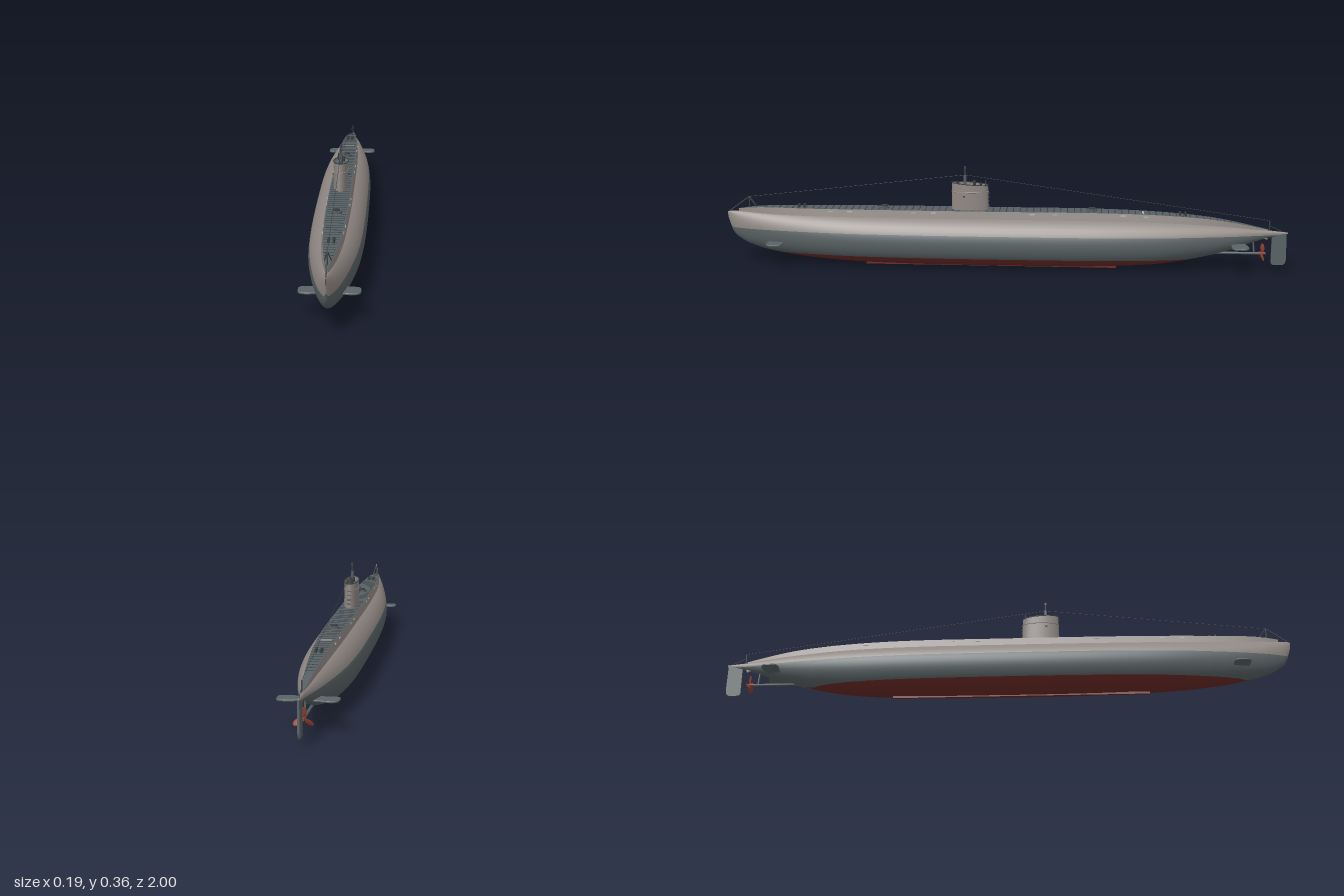
import * as THREE from 'three';

const mat = (name, color, side = THREE.FrontSide) => {
  const m = new THREE.MeshStandardMaterial({ color, side });
  m.name = name;
  return m;
};

export function createModel() {
  const root = new THREE.Group();
  const upper = mat('upperGrey', 0x8f8783, THREE.DoubleSide);
  const lower = mat('lowerGrey', 0x596365);
  const red = mat('antifoulingRed', 0x6b2a26);
  const deckMat = mat('deckGrey', 0x566064);
  const dark = mat('darkMetal', 0x3a3f41);
  const propMat = mat('propellerRed', 0x93402f, THREE.DoubleSide);
  const pale = mat('paleSlot', 0xb8b4ae);
  const V = (x, y, z) => new THREE.Vector3(x, y, z);

  const add = (name, geo, material, x = 0, y = 0, z = 0, parent = root) => {
    const m = new THREE.Mesh(geo, material);
    m.name = name;
    m.position.set(x, y, z);
    parent.add(m);
    return m;
  };
  const box = (name, w, h, d, material, x, y, z, parent) =>
    add(name, new THREE.BoxGeometry(w, h, d), material, x, y, z, parent);
  const disc = (name, r, h, material, x, y, z, parent) =>
    add(name, new THREE.CylinderGeometry(r, r, h, 16), material, x, y, z, parent);
  const rod = (name, a, b, r, material = dark, parent = root) => {
    const m = add(name, new THREE.CylinderGeometry(r, r, a.distanceTo(b), 8), material, 0, 0, 0, parent);
    m.position.copy(a).lerp(b, 0.5);
    m.quaternion.setFromUnitVectors(V(0, 1, 0), b.clone().sub(a).normalize());
    return m;
  };
  // Smooth lookup in a table of [z, ...values]
  const table = (rows) => {
    const f = new THREE.CubicInterpolant(rows.map((r) => r[0]), rows.flatMap((r) => r.slice(1)), rows[0].length - 1);
    return (z) => Array.from(f.evaluate(z));
  };
  // Skin over rows of points; bands are [first column, last column, material index]
  const loft = (rows, bands) => {
    const n = rows[0].length, index = [], g = new THREE.BufferGeometry();
    for (const [j0, j1, material] of bands) {
      const start = index.length;
      for (let i = 0; i < rows.length - 1; i++) {
        for (let j = j0; j < j1; j++) {
          const a = i * n + j, d = a + n;
          index.push(a, a + 1, d + 1, a, d + 1, d);
        }
      }
      g.addGroup(start, index.length - start, material);
    }
    g.setFromPoints(rows.flat());
    g.setIndex(index);
    g.computeVertexNormals();
    return g;
  };
  const steps = (a, b, n) => Array.from({ length: n + 1 }, (_, i) => a + (b - a) * i / n);

  // Hull: z, keel height, crown height, half width
  const hullAt = table([
    [-1, 0.135, 0.141, 0.002], [-0.93, 0.12, 0.148, 0.009], [-0.9, 0.111, 0.152, 0.015],
    [-0.8, 0.075, 0.166, 0.037], [-0.6, 0.028, 0.183, 0.07], [-0.4, 0.011, 0.19, 0.087],
    [0, 0.005, 0.192, 0.094], [0.4, 0.008, 0.192, 0.09], [0.6, 0.016, 0.192, 0.079],
    [0.8, 0.038, 0.192, 0.053], [0.9, 0.062, 0.192, 0.034], [0.95, 0.085, 0.191, 0.021],
    [0.985, 0.12, 0.19, 0.009], [1, 0.168, 0.188, 0.001],
  ]);
  const stations = [...steps(-1, 0.9, 60), ...steps(0.91, 1, 12)];
  const hullRows = stations.map((z) => {
    const [yb, yt, w] = hullAt(z), c = (yb + yt) / 2, r = (yt - yb) / 2;
    const angle = (y) => Math.acos(THREE.MathUtils.clamp((c - y) / r, -1, 1));
    const t1 = angle(0.045), t2 = angle(0.131);
    const half = [...steps(0, t1, 5), ...steps(t1, t2, 7).slice(1), ...steps(t2, Math.PI, 8).slice(1)];
    const full = [...half.slice(1).reverse().map((t) => -t), ...half];
    return full.map((t) => V(w * Math.sin(t), c - r * Math.cos(t), z));
  });
  add('hull', loft(hullRows, [[0, 8, 0], [8, 15, 1], [15, 25, 2], [25, 32, 1], [32, 40, 0]]), [upper, lower, red]);
  box('keel', 0.008, 0.008, 0.9, red, 0, 0.005, 0.05);

  // Deck casing: z, top half width, foot half width, top height
  const casingAt = table([
    [-0.93, 0.003, 0.005, 0.151], [-0.85, 0.011, 0.015, 0.168], [-0.75, 0.018, 0.024, 0.186],
    [-0.6, 0.026, 0.034, 0.2], [-0.4, 0.033, 0.041, 0.208], [0, 0.037, 0.044, 0.209],
    [0.4, 0.036, 0.043, 0.209], [0.7, 0.027, 0.034, 0.208], [0.9, 0.011, 0.015, 0.206],
    [0.96, 0.002, 0.004, 0.199],
  ]);
  const casing = steps(-0.93, 0.96, 50).map((z) => [z, ...casingAt(z)]);
  for (const s of [1, -1]) {
    const rows = casing.map(([z, wt, wb, y]) => {
      const edge = [V(s * wb, y - 0.036, z), V(s * wt, y, z)];
      return s > 0 ? edge : edge.reverse();
    });
    add('casingSide', loft(rows, [[0, 1, 0]]), [upper]);
  }
  add('deck', loft(casing.map(([z, wt, , y]) => [V(wt, y, z), V(-wt, y, z)]), [[0, 1, 0]]), [deckMat]);
  // Deck planking seams and free-flooding slots
  for (let z = -0.8; z < 0.88; z += 0.024) {
    const [wt, , y] = casingAt(z);
    box('deckSeam', wt * 1.8, 0.001, 0.003, dark, 0, y + 0.0003, z);
  }
  for (const z of [0.62, 0.55, 0.32, 0.25, -0.1, -0.18, -0.42, -0.5]) {
    const [wt, wb, y] = casingAt(z);
    for (const s of [1, -1]) box('floodSlot', 0.003, 0.004, 0.018, pale, s * (wt + (wb - wt) * 0.25), y - 0.008, z);
  }

  // Deck hatches and bollards
  for (const z of [0.43, -0.31]) {
    const y = casingAt(z)[2];
    disc('hatchCoaming', 0.018, 0.008, deckMat, 0, y + 0.003, z);
    disc('hatchLid', 0.012, 0.006, dark, 0, y + 0.008, z);
  }
  for (const z of [0.74, 0.72, -0.62, -0.64]) {
    for (const s of [1, -1]) disc('bollard', 0.004, 0.012, dark, s * 0.008, casingAt(z)[2] + 0.005, z);
  }
  box('deckHatch', 0.04, 0.003, 0.006, pale, 0, casingAt(-0.49)[2], -0.49);

  // Conning tower with an open bridge
  const tower = new THREE.Group();
  tower.name = 'conningTower';
  tower.position.set(0, 0, 0.122);
  root.add(tower);
  const wall = new THREE.CylinderGeometry(1, 1.04, 0.1, 40, 1, true);
  wall.scale(0.025, 1, 0.064);
  const wp = wall.attributes.position;
  for (let i = 0; i < wp.count; i++) if (wp.getY(i) > 0) wp.setY(i, 0.05 + wp.getZ(i) * 0.07);
  wall.computeVertexNormals();
  add('towerWall', wall, upper, 0, 0.251, 0, tower);
  disc('bridgeFloor', 1, 0.004, deckMat, 0, 0.288, 0, tower).scale.set(0.0245, 1, 0.063);
  const ring = (name, y, r, material, tilt) => {
    const pts = steps(0, Math.PI * 2, 40).slice(1).map((a) =>
      V(Math.cos(a) * 0.0255, y + Math.sin(a) * 0.065 * tilt, Math.sin(a) * 0.065));
    add(name, new THREE.TubeGeometry(new THREE.CatmullRomCurve3(pts, true), 60, r, 6, true), material, 0, 0, 0, tower);
  };
  ring('bridgeRim', 0.302, 0.0016, dark, 0.07);
  ring('sprayRail', 0.274, 0.0015, upper, 0);
  for (const s of [1, -1]) {
    box('sideLamp', 0.004, 0.004, 0.008, dark, s * 0.027, 0.26, 0.02, tower);
    rod('rearRailPost', V(s * 0.012, 0.288, -0.055), V(s * 0.012, 0.314, -0.055), 0.0012, dark, tower);
  }
  rod('rearRail', V(-0.012, 0.314, -0.055), V(0.012, 0.314, -0.055), 0.0012, dark, tower);
  for (const y of [0.225, 0.24, 0.255, 0.27]) box('ladderRung', 0.014, 0.002, 0.003, dark, 0, y, -0.067, tower);
  rod('periscopeSleeve', V(0, 0.285, 0.018), V(0, 0.333, 0.018), 0.0055, deckMat, tower);
  rod('periscope', V(0, 0.33, 0.018), V(0, 0.36, 0.018), 0.003, dark, tower);
  box('periscopeHead', 0.007, 0.008, 0.007, dark, 0, 0.36, 0.018, tower);
  rod('secondPeriscope', V(0, 0.285, -0.015), V(0, 0.314, -0.015), 0.005, dark, tower);
  rod('snorkel', V(0.008, 0.285, -0.038), V(0.008, 0.306, -0.038), 0.004, dark, tower);
  disc('compass', 0.006, 0.018, dark, 0, 0.297, 0.044, tower);

  // Masts and aerial wires
  const bowTop = V(0, 0.243, 0.92), sternTop = V(0, 0.183, -0.935), mid = V(0, 0.333, 0.14);
  rod('bowMast', V(0, 0.195, 0.92), bowTop, 0.0025);
  rod('bowStay', V(0, 0.19, 0.992), bowTop, 0.0022);
  for (const s of [1, -1]) rod('bowMastLeg', V(s * 0.011, 0.203, 0.89), bowTop, 0.0015);
  rod('sternMast', V(0, 0.145, -0.935), sternTop, 0.0022);
  rod('sternStay', V(0, 0.142, -0.985), V(0, 0.165, -0.935), 0.0012);
  rod('forwardAerial', bowTop, mid, 0.0007);
  rod('aftAerial', sternTop, mid, 0.0007);

  // Diving planes, bow and stern
  const plane = new THREE.Shape();
  plane.moveTo(0, -0.022);
  plane.lineTo(0.06, -0.034);
  plane.quadraticCurveTo(0.094, -0.036, 0.094, -0.012);
  plane.lineTo(0.094, 0.012);
  plane.quadraticCurveTo(0.092, 0.026, 0.07, 0.026);
  plane.lineTo(0, 0.022);
  const planeGeo = new THREE.ExtrudeGeometry(plane, {
    depth: 0.003, bevelThickness: 0.0015, bevelSize: 0.0015, bevelOffset: -0.0015, bevelSegments: 1, curveSegments: 8,
  });
  planeGeo.rotateX(-Math.PI / 2);
  for (const [name, y, z, flip] of [['bowPlane', 0.086, 0.815, 1], ['sternPlane', 0.1, -0.825, -1]]) {
    const right = add(name, planeGeo, lower, 0, y - 0.0015, z);
    const left = add(name, planeGeo, lower, 0, y - 0.0015, z);
    right.scale.set(1, 1, flip);
    left.scale.set(-1, 1, flip);
  }

  // Rudder, in the z-y plane
  const rudder = new THREE.Shape();
  rudder.moveTo(-0.945, 0.135);
  rudder.lineTo(-0.945, 0.035);
  rudder.quadraticCurveTo(-0.945, 0.022, -0.958, 0.022);
  rudder.lineTo(-0.984, 0.022);
  rudder.quadraticCurveTo(-0.998, 0.024, -0.998, 0.045);
  rudder.lineTo(-0.996, 0.137);
  const rudderGeo = new THREE.ExtrudeGeometry(rudder, { depth: 0.006, bevelEnabled: false });
  rudderGeo.rotateY(-Math.PI / 2);
  add('rudder', rudderGeo, lower, 0.003, 0, 0);

  // Shaft, bracket and propeller
  rod('propellerShaft', V(0, 0.063, -0.74), V(0, 0.063, -0.925), 0.0045, lower);
  rod('shaftBracket', V(0, 0.063, -0.885), V(0, 0.118, -0.88), 0.003, lower);
  const propeller = new THREE.Group();
  propeller.name = 'propeller';
  propeller.position.set(0, 0.063, -0.914);
  root.add(propeller);
  const hub = add('propellerHub', new THREE.CylinderGeometry(0.007, 0.004, 0.024, 12), propMat, 0, 0, 0, propeller);
  hub.rotation.x = Math.PI / 2;
  for (let i = 0; i < 3; i++) {
    const arm = new THREE.Group();
    arm.rotation.z = i * Math.PI * 2 / 3;
    propeller.add(arm);
    const blade = add('propellerBlade', new THREE.SphereGeometry(1, 12, 8), propMat, 0, 0.02, 0, arm);
    blade.scale.set(0.011, 0.016, 0.0018);
    blade.rotation.y = 0.6;
  }
  return root;
}
